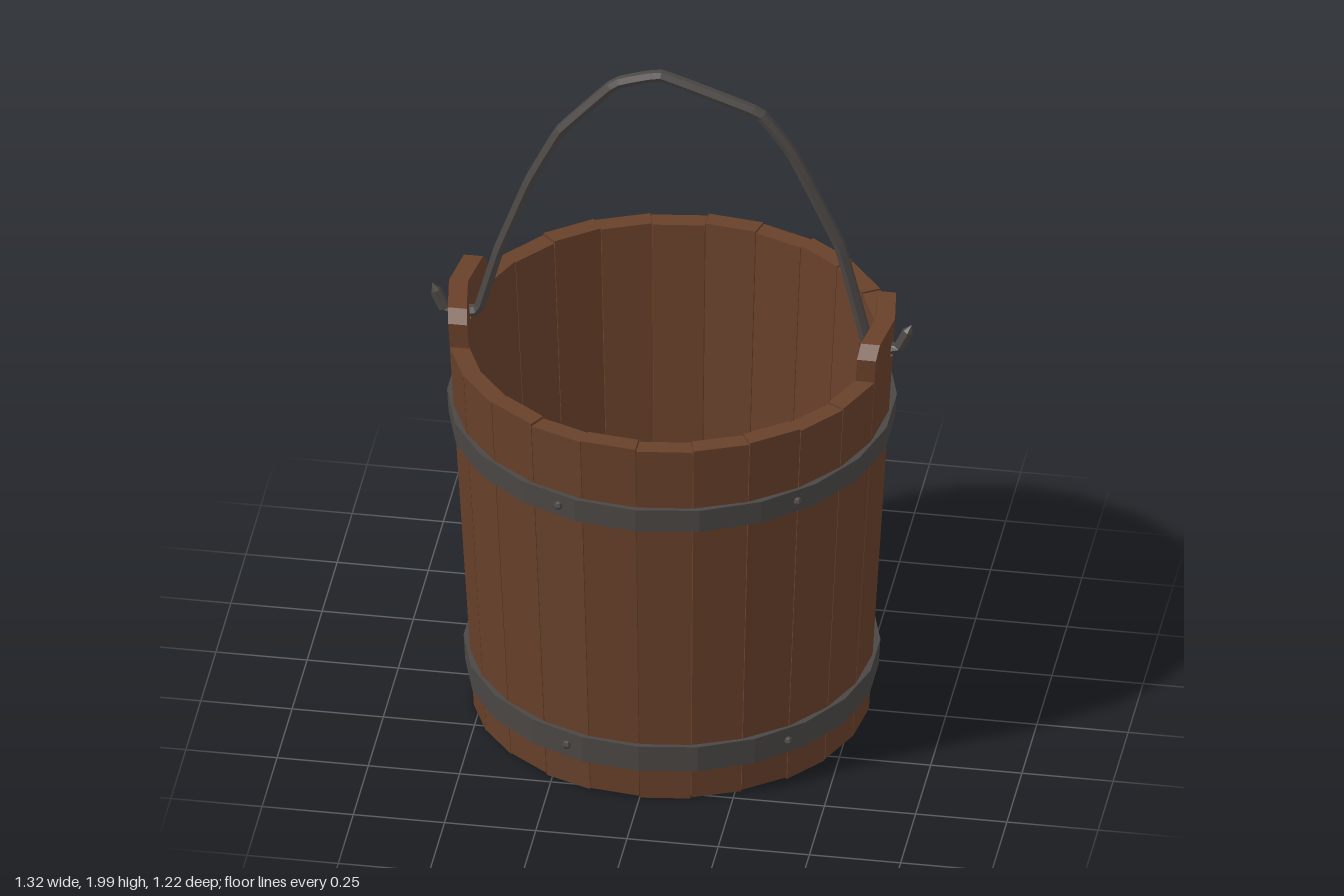
import * as THREE from 'three';

const wood = new THREE.MeshStandardMaterial({ color: 0x68402a, flatShading: true });
wood.name = 'brown wood';
const iron = new THREE.MeshStandardMaterial({ color: 0x4b4745, flatShading: true });
iron.name = 'dark iron';

const THICK = 0.052;
const outer = (y) => 0.54 + 0.057 * (y - 0.02); // bucket wall radius at a height
const EAR_ANGLE = 0.278;

function add(parent, name, geometry, material) {
  const mesh = new THREE.Mesh(geometry, material);
  mesh.name = name;
  parent.add(mesh);
  return mesh;
}

// One straight, tapered plank between two angles
function staveGeometry(a0, a1, y0, y1) {
  const g = new THREE.BoxGeometry(1, 1, 1);
  const p = g.attributes.position;
  for (let i = 0; i < p.count; i++) {
    const y = p.getY(i) > 0 ? y1 : y0;
    const r = outer(y) - (p.getZ(i) > 0 ? 0 : THICK);
    const a = p.getX(i) < 0 ? a0 : a1;
    p.setXYZ(i, r * Math.sin(a), y, r * Math.cos(a));
  }
  g.computeVertexNormals();
  return g;
}

// Half of a tall eared plank, with half of the handle hole, folded along z = 0
function earGeometry(side) {
  const s = new THREE.Shape();
  s.moveTo(0, 0.015);
  s.lineTo(side * 0.145, 0.015);
  s.lineTo(side * 0.164, 1.165);
  s.lineTo(side * 0.166, 1.235);
  s.lineTo(side * 0.135, 1.268);
  s.lineTo(0, 1.27);
  for (let i = 0; i <= 4; i++) {
    const a = (i / 4) * Math.PI;
    s.lineTo(side * 0.026 * Math.sin(a), 1.18 + 0.03 * Math.cos(a));
  }
  const g = new THREE.ExtrudeGeometry(s, { depth: THICK, bevelEnabled: false });
  g.rotateY(Math.PI / 2);
  const p = g.attributes.position;
  for (let i = 0; i < p.count; i++) {
    p.setX(i, p.getX(i) + outer(p.getY(i)) - THICK - 0.14 * Math.abs(p.getZ(i)));
  }
  g.computeVertexNormals();
  return g;
}

// Closed band with a rectangular section following the wall slope
function hoopGeometry(y0, y1, inset) {
  const out = 0.014;
  const profile = [
    [outer(y0) - inset, y0], [outer(y0) + out, y0],
    [outer(y1) + out, y1], [outer(y1) - inset, y1], [outer(y0) - inset, y0],
  ].map(([r, y]) => new THREE.Vector2(r, y));
  return new THREE.LatheGeometry(profile, 22);
}

// Floor board: a slice of a disc between two x positions
function boardGeometry(x0, x1, r) {
  const s = new THREE.Shape();
  const n = 6;
  for (let i = 0; i <= 2 * n + 1; i++) {
    const top = i <= n;
    const t = top ? i / n : (2 * n + 1 - i) / n;
    const x = x0 + (x1 - x0) * t;
    const z = Math.sqrt(Math.max(r * r - x * x, 0.0004)) * (top ? 1 : -1);
    if (i === 0) s.moveTo(x, z);
    else s.lineTo(x, z);
  }
  const g = new THREE.ExtrudeGeometry(s, { depth: 0.045, bevelEnabled: false });
  g.rotateX(-Math.PI / 2);
  return g;
}

export function createModel() {
  const bucket = new THREE.Group();
  bucket.name = 'bucket';

  // Wall planks, ten at the front and ten at the back
  const staves = new THREE.Group();
  staves.name = 'staves';
  bucket.add(staves);
  const count = 10;
  const span = Math.PI - 2 * EAR_ANGLE;
  for (let half = 0; half < 2; half++) {
    const start = -span / 2 + half * Math.PI;
    for (let i = 0; i < count; i++) {
      const k = half * count + i;
      const a0 = start + (i * span) / count + 0.002;
      const a1 = start + ((i + 1) * span) / count - 0.002;
      const lift = 0.008 * ((k * 7) % 5) / 4;
      add(staves, 'stave', staveGeometry(a0, a1, 0.012 + lift, 1.16 + lift), wood);
    }
  }

  // Eared planks that carry the handle
  for (const [name, turn] of [['leftEar', 0], ['rightEar', Math.PI]]) {
    const ear = new THREE.Group();
    ear.name = name;
    ear.rotation.y = turn;
    for (const side of [-1, 1]) add(ear, 'earHalf', earGeometry(side), wood);
    bucket.add(ear);
  }

  // Floor boards
  const floor = new THREE.Group();
  floor.name = 'floor';
  floor.position.y = 0.05;
  bucket.add(floor);
  for (const [x0, x1] of [[-0.492, -0.311], [-0.305, 0.11], [0.112, 0.306], [0.314, 0.492]]) {
    add(floor, 'floorBoard', boardGeometry(x0, x1, 0.495), wood);
  }

  // Iron hoops with rivets
  const hoops = [['lowerHoop', 0.11, 0.19, 0.064], ['upperHoop', 0.905, 0.975, 0.03]];
  for (const [name, y0, y1, inset] of hoops) {
    add(bucket, name, hoopGeometry(y0, y1, inset), iron);
    const y = (y0 + y1) / 2;
    for (const a of [-0.37, 0.76, 2.76, 3.9]) {
      const rivet = add(bucket, 'rivet', new THREE.SphereGeometry(0.013, 6, 4), iron);
      const r = outer(y) + 0.012;
      rivet.position.set(r * Math.sin(a), y, r * Math.cos(a));
    }
  }

  // Bent iron handle passing through the ears and hooked up outside
  const points = [
    [-0.648, 1.235], [-0.622, 1.18], [-0.585, 1.172], [-0.53, 1.185], [-0.475, 1.38],
    [-0.39, 1.61], [-0.305, 1.78], [-0.155, 1.945], [-0.03, 1.983], [0.24, 1.89],
    [0.33, 1.77], [0.46, 1.49], [0.535, 1.19], [0.585, 1.172], [0.622, 1.18], [0.648, 1.235],
  ].map(([x, y]) => new THREE.Vector3(x, y, 0));
  const path = new THREE.CatmullRomCurve3(points, false, 'catmullrom', 0.1);
  add(bucket, 'handle', new THREE.TubeGeometry(path, 80, 0.017, 6), iron);
  for (const side of [-1, 1]) {
    const tip = add(bucket, 'handleTip', new THREE.ConeGeometry(0.017, 0.03, 6), iron);
    tip.position.set(side * 0.651, 1.242, 0);
    tip.rotation.z = -side * 0.43;
  }

  return bucket;
}
